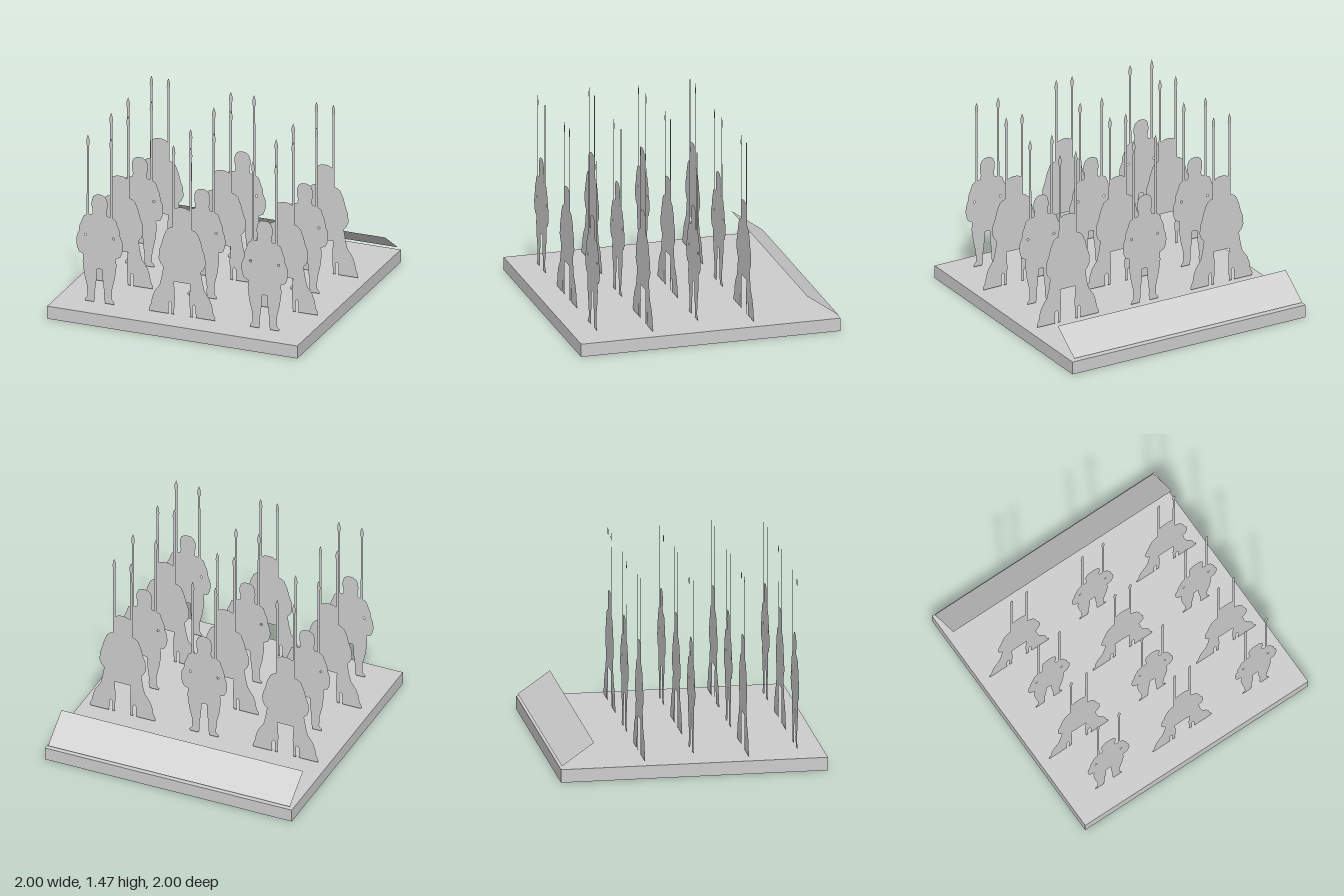
import * as THREE from 'three';

const stone = new THREE.MeshStandardMaterial({ color: 0xcccccc, side: THREE.DoubleSide });
stone.name = 'pale grey';

// Right half of each silhouette, from the crotch round the leg and body to the helmet top
const STANDING = [
  [0, 0.38], [0.022, 0.375], [0.024, 0.3], [0.037, 0.2], [0.035, 0.15], [0.045, 0.11],
  [0.115, 0.11], [0.118, 0.125], [0.097, 0.15], [0.1, 0.23], [0.122, 0.32], [0.135, 0.42],
  [0.13, 0.48], [0.165, 0.495], [0.18, 0.53], [0.187, 0.57], [0.182, 0.62], [0.165, 0.66],
  [0.162, 0.7], [0.145, 0.74], [0.13, 0.785], [0.105, 0.8], [0.06, 0.81], [0.055, 0.84],
  [0.064, 0.88], [0.062, 0.925], [0.05, 0.955], [0.025, 0.972], [0, 0.975],
];
const STRIDING = [
  [0, 0.373], [0.065, 0.373], [0.058, 0.25], [0.065, 0.11], [0.085, 0.11], [0.085, 0.2],
  [0.097, 0.21], [0.108, 0.195], [0.11, 0.11], [0.262, 0.11], [0.266, 0.13], [0.248, 0.17],
  [0.24, 0.22], [0.222, 0.27], [0.18, 0.33], [0.165, 0.39], [0.15, 0.48], [0.17, 0.5],
  [0.188, 0.54], [0.184, 0.61], [0.165, 0.66], [0.15, 0.72], [0.125, 0.78], [0.1, 0.8],
  [0.065, 0.81], [0.058, 0.86], [0.072, 0.9], [0.072, 0.935], [0.055, 0.96], [0.028, 0.973],
  [0, 0.975],
];

// Mirror a half outline into a closed shape
function mirroredShape(half) {
  const left = half.slice(1, -1).reverse().map(([x, y]) => [-x, y]);
  return new THREE.Shape([...half, ...left].map(([x, y]) => new THREE.Vector2(x, y)));
}

// Thin shaft with a leaf-shaped point
function spearGeometry(x, tip) {
  const half = [[0, 0.7], [0.01, 0.7], [0.009, tip - 0.085], [0.014, tip - 0.07],
    [0.012, tip - 0.035], [0, tip]];
  return new THREE.ShapeGeometry(mirroredShape(half)).translate(x, 0, 0);
}

function figureParts(half, spearX, tip, hole) {
  const body = mirroredShape(half);
  if (hole) {
    for (const side of [-1, 1]) {
      body.holes.push(new THREE.Path().absarc(side * 0.112, 0.636, 0.009, 0, Math.PI * 2, true));
    }
  }
  return {
    body: new THREE.ShapeGeometry(body, 5),
    spears: [-1, 1].map((side) => spearGeometry(side * spearX, tip)),
  };
}

function makeFigure(parts, name) {
  const figure = new THREE.Group();
  figure.name = name;
  const body = new THREE.Mesh(parts.body, stone);
  body.name = 'bodySilhouette';
  figure.add(body);
  parts.spears.forEach((geometry, i) => {
    const spear = new THREE.Mesh(geometry, stone);
    spear.name = i ? 'leftSpear' : 'rightSpear';
    figure.add(spear);
  });
  return figure;
}

export function createModel() {
  const model = new THREE.Group();
  model.name = 'spearmenUnit';

  // Square base
  const base = new THREE.Mesh(new THREE.BoxGeometry(2, 0.1, 2), stone);
  base.name = 'base';
  base.position.y = 0.05;
  model.add(base);

  // Sloping plate along the back edge, rising towards the front
  const rise = 0.17, run = 0.24;
  const plate = new THREE.Mesh(new THREE.PlaneGeometry(1.96, Math.hypot(rise, run)), stone);
  plate.name = 'backPlate';
  plate.position.set(0, 0.205, -0.87);
  plate.rotation.x = Math.atan2(run, rise);
  model.add(plate);

  // Three files of four flat figures, the two poses alternating
  const standing = figureParts(STANDING, 0.093, 1.44, true);
  const striding = figureParts(STRIDING, 0.068, 1.467, false);
  for (let column = 0; column < 3; column++) {
    for (let row = 0; row < 4; row++) {
      const even = (column + row) % 2 === 0;
      const figure = makeFigure(even ? standing : striding, even ? 'standingSpearman' : 'stridingSpearman');
      figure.position.set((column - 1) * 0.66, 0, 0.81 - row * 0.389);
      model.add(figure);
    }
  }
  return model;
}
